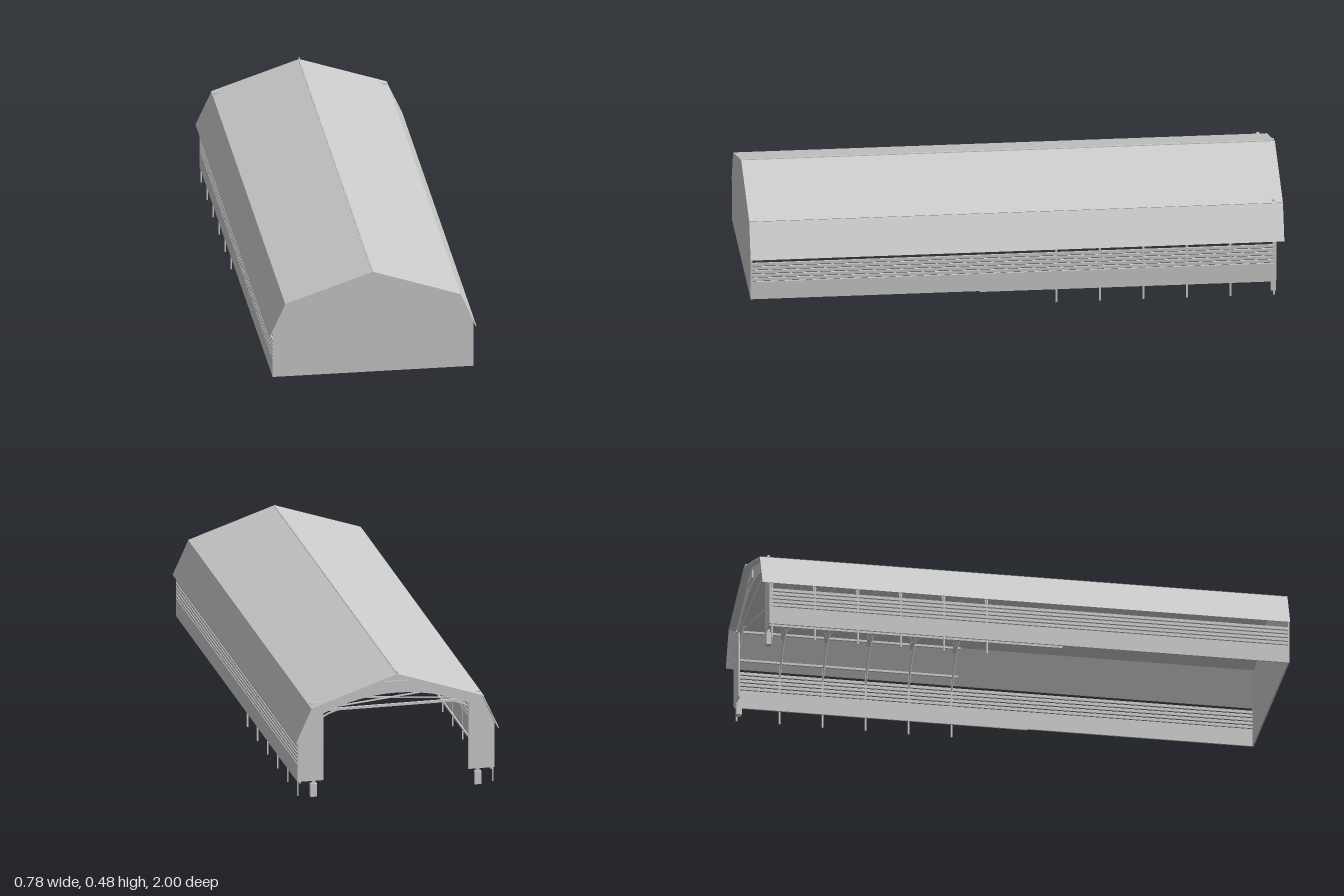
import * as THREE from 'three';

const grey = new THREE.MeshStandardMaterial({ color: 0xcccccc, side: THREE.DoubleSide });
grey.name = 'paleGrey';

function add(parent, geometry, name) {
  const mesh = new THREE.Mesh(geometry, grey);
  mesh.name = name;
  parent.add(mesh);
  return mesh;
}

function box(parent, name, w, h, d, x, y, z) {
  const mesh = add(parent, new THREE.BoxGeometry(w, h, d), name);
  mesh.position.set(x, y, z);
  return mesh;
}

// Square timber running between two points
function beam(parent, name, a, b, t = 0.006) {
  const from = new THREE.Vector3(...a), to = new THREE.Vector3(...b);
  const mesh = add(parent, new THREE.BoxGeometry(t, t, from.distanceTo(to)), name);
  mesh.position.copy(from).add(to).multiplyScalar(0.5);
  mesh.lookAt(to);
  return mesh;
}

// Flat outline in x-y, given depth along z
function plate(parent, name, shape, depth, z) {
  const g = new THREE.ExtrudeGeometry(shape, { depth, bevelEnabled: false, curveSegments: 12 });
  g.translate(0, 0, z);
  return add(parent, g, name);
}

const toShape = pts => new THREE.Shape(pts.map(p => new THREE.Vector2(...p)));

export function createModel() {
  const model = new THREE.Group();
  model.name = 'coveredBridge';

  // Roof: two pitched panes and two steep skirts
  for (const s of [-1, 1]) {
    plate(model, 'upperRoof', toShape([[0, 0.468], [s * 0.331, 0.357], [s * 0.329, 0.352], [0, 0.463]]), 2, -1);
    plate(model, 'lowerRoof', toShape([[s * 0.33, 0.356], [s * 0.39, 0.224], [s * 0.386, 0.224], [s * 0.326, 0.354]]), 2, -1);
  }
  box(model, 'ridgeCap', 0.006, 0.004, 1.99, 0, 0.468, 0);
  box(model, 'finial', 0.004, 0.014, 0.006, 0, 0.47, -0.994);

  // Closed front end wall
  plate(model, 'frontWall', toShape([[-0.378, 0.062], [0.378, 0.062], [0.378, 0.24],
    [0.327, 0.353], [0, 0.464], [-0.327, 0.353], [-0.378, 0.24]]), 0.006, 0.993);

  // Open back portal with a shallow arched top
  const portal = toShape([[-0.378, 0.062], [-0.278, 0.062], [-0.278, 0.325]]);
  portal.quadraticCurveTo(0, 0.445, 0.278, 0.325);
  for (const p of [[0.278, 0.062], [0.378, 0.062], [0.378, 0.24], [0.327, 0.353],
    [0, 0.464], [-0.327, 0.353], [-0.378, 0.24]]) portal.lineTo(...p);
  plate(model, 'portalWall', portal, 0.006, -0.972);
  box(model, 'portalPlaque', 0.09, 0.03, 0.006, 0, 0.418, -0.976);

  // Side walls: solid lower boarding with horizontal rails above
  for (const s of [-1, 1]) {
    box(model, 'sidePanel', 0.006, 0.07, 1.965, s * 0.375, 0.097, 0.0125);
    for (let i = 0; i < 5; i++)
      box(model, 'sideRail', 0.006, 0.011, 1.965, s * 0.375, 0.141 + i * 0.0152, 0.0125);
    box(model, 'sillBeam', 0.006, 0.008, 1.11, s * 0.367, 0.059, -0.415);
    box(model, 'wallPlate', 0.008, 0.008, 0.85, s * 0.362, 0.25, -0.55);
    box(model, 'purlin', 0.008, 0.008, 0.85, s * 0.315, 0.345, -0.55);

    // Footing blocks and small eave brackets at the portal
    box(model, 'footing', 0.025, 0.05, 0.02, s * 0.315, 0.025, -0.965);
    box(model, 'footingStem', 0.014, 0.016, 0.008, s * 0.315, 0.057, -0.965);
    box(model, 'eaveBracket', 0.035, 0.012, 0.01, s * 0.307, 0.361, -0.965);
  }

  // Timber frames in the rear half
  const frames = new THREE.Group();
  frames.name = 'timberFrames';
  model.add(frames);
  const step = 0.163;
  for (let i = 0; i < 6; i++) {
    const z = -0.147 - i * step;
    beam(frames, 'tieBeam', [-0.325, 0.335, z], [0.325, 0.335, z], 0.009);
    for (const s of [-1, 1]) {
      box(frames, 'post', 0.005, 0.245, 0.006, s * 0.374, 0.1275, z);
      beam(frames, 'skirtRafter', [s * 0.372, 0.245, z], [s * 0.323, 0.35, z]);
      beam(frames, 'rafter', [s * 0.323, 0.35, z], [0, 0.459, z]);
      // Curved knee brace from post to tie beam
      const knee = new THREE.QuadraticBezierCurve3(new THREE.Vector3(s * 0.368, 0.19, z),
        new THREE.Vector3(s * 0.32, 0.32, z), new THREE.Vector3(s * 0.2, 0.335, z));
      add(frames, new THREE.TubeGeometry(knee, 8, 0.004, 4), 'kneeBrace');
    }
    // Overhead cross bracing between neighbouring frames
    if (i < 5) for (const s of [-1, 1])
      beam(frames, 'crossBrace', [-s * 0.315, 0.337, z], [s * 0.315, 0.337, z - step], 0.005);
  }

  return model;
}
